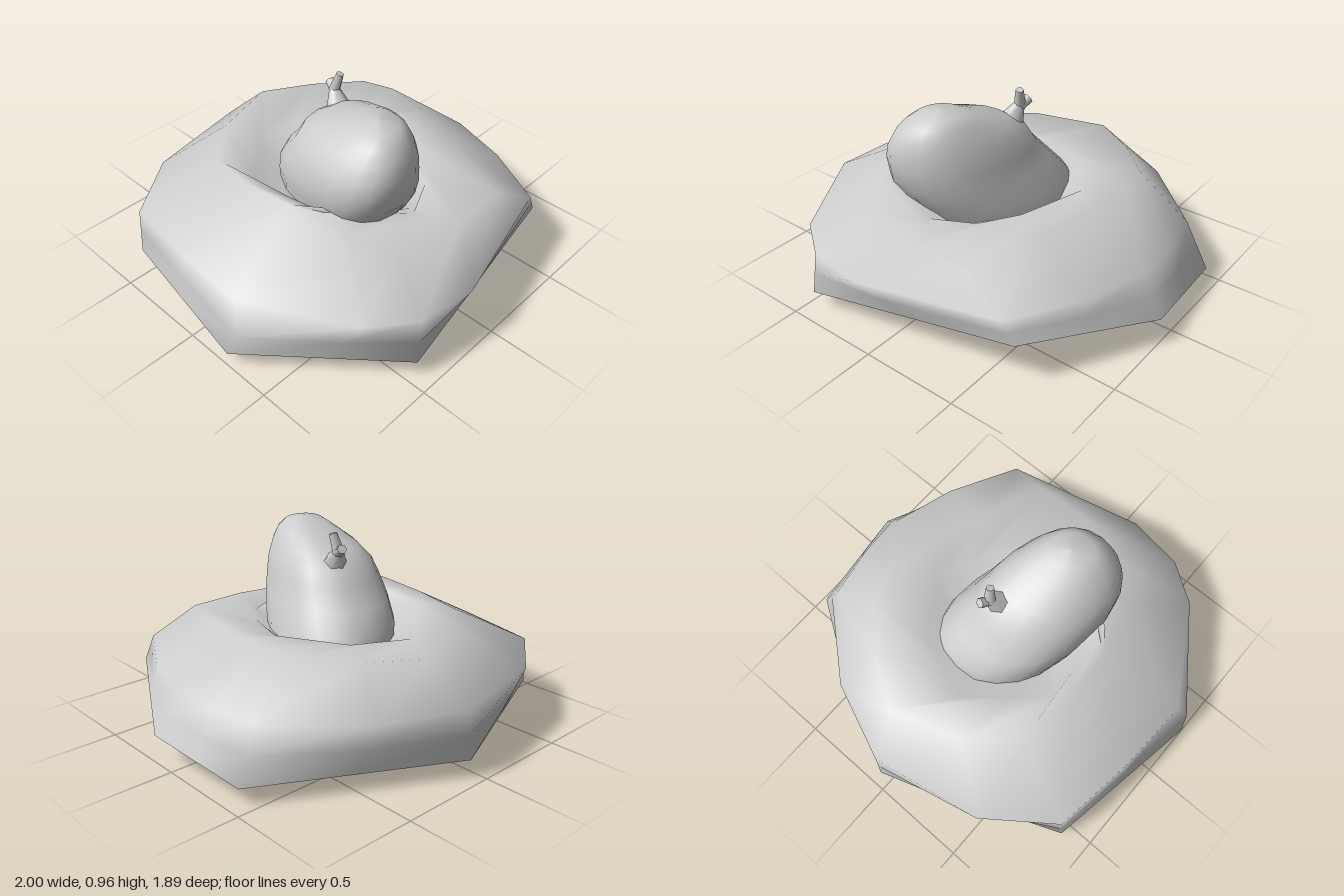
import * as THREE from 'three';

const material = new THREE.MeshStandardMaterial({ color: 0xcccccc, side: THREE.DoubleSide });

// Smooth skin over closed rings of [x, y, z], ordered bottom to top / outside to inside
function loft(name, rings) {
  const n = rings[0].length;
  const index = [];
  for (let i = 0; i < rings.length - 1; i++) {
    for (let j = 0; j < n; j++) {
      const k = (j + 1) % n;
      const a = i * n + j, b = i * n + k, c = a + n, d = b + n;
      index.push(a, c, b, b, c, d);
    }
  }
  const geometry = new THREE.BufferGeometry();
  geometry.setAttribute('position', new THREE.Float32BufferAttribute(rings.flat(2), 3));
  geometry.setIndex(index);
  geometry.computeVertexNormals();
  const mesh = new THREE.Mesh(geometry, material);
  mesh.name = name;
  return mesh;
}

// Tapered peg between two points
function peg(name, from, to, r0, r1) {
  const a = new THREE.Vector3(...from), b = new THREE.Vector3(...to);
  const dir = b.clone().sub(a);
  const mesh = new THREE.Mesh(new THREE.CylinderGeometry(r1, r0, dir.length(), 6), material);
  mesh.position.copy(a).add(b).multiplyScalar(0.5);
  mesh.quaternion.setFromUnitVectors(new THREE.Vector3(0, 1, 0), dir.normalize());
  mesh.name = name;
  return mesh;
}

const midpoint = (p, q) => p.map((v, k) => (v + q[k]) / 2);

// Insert the midpoint after each corner of a closed ring
const withMidpoints = (corners) => corners.flatMap((p, i) => [p, midpoint(p, corners[(i + 1) % corners.length])]);

// Open shell: seven-cornered rim, bulging wall, uneven crest, inner lip and a hollow
function createMound() {
  const rim = withMidpoints([
    [0.05, 0.09, -0.945], [0.95, 0.085, -0.44], [1, 0.14, 0.12], [0.65, 0.23, 0.76],
    [-0.45, 0.09, 0.915], [-1, 0.08, 0.26], [-0.86, 0.085, -0.57],
  ]);
  const wall = [
    [0.06, 0.33, -0.925], [0.46, 0.33, -0.765], [0.83, 0.33, -0.41], [0.88, 0.33, -0.15],
    [0.88, 0.33, 0.1], [0.78, 0.33, 0.43], [0.59, 0.34, 0.77], [-0.12, 0.32, 0.945],
    [-0.42, 0.32, 0.9], [-0.62, 0.33, 0.76], [-0.92, 0.35, 0.25], [-0.9, 0.35, -0.15],
    [-0.84, 0.33, -0.57], [-0.51, 0.33, -0.815],
  ];
  // halfway ring, with one bulge on the side
  const belly = rim.map((p, i) => midpoint(p, wall[i]));
  belly[10] = [-0.975, 0.2, 0.3];
  const crest = [
    [0.13, 0.525, -0.72], [0.37, 0.53, -0.57], [0.57, 0.55, -0.36], [0.61, 0.56, -0.18],
    [0.58, 0.54, 0.06], [0.48, 0.51, 0.36], [0.36, 0.47, 0.71], [0.05, 0.47, 0.72],
    [-0.31, 0.47, 0.65], [-0.43, 0.53, 0.44], [-0.49, 0.585, 0.15], [-0.5, 0.56, -0.12],
    [-0.46, 0.54, -0.4], [-0.24, 0.535, -0.6],
  ];
  const lip = withMidpoints([
    [-0.08, 0.49, -0.45], [0.22, 0.51, -0.35], [0.43, 0.53, -0.06], [0.3, 0.495, 0.25],
    [0.04, 0.465, 0.59], [-0.4, 0.56, 0.28], [-0.43, 0.52, -0.15],
  ]);
  const hollow = (f, y) => lip.map(([x, , z]) => [x * f, y, 0.06 + (z - 0.06) * f]);
  return loft('moundShell', [rim, belly, wall, crest, lip, hollow(0.75, 0.43), hollow(0, 0.39)]);
}

// Leaning fruit: rounded sections [y, centre x, centre z, half width, half depth]
function createFruit() {
  const sections = [
    [0, 0.01, 0.01, 0, 0], [0.03, 0.01, 0, 0.1, 0.1], [0.1, 0.03, -0.02, 0.18, 0.19],
    [0.18, 0.05, -0.01, 0.28, 0.27], [0.28, 0.01, 0, 0.315, 0.34], [0.4, -0.01, 0.04, 0.31, 0.38],
    [0.5, -0.04, 0.08, 0.31, 0.4], [0.6, -0.08, 0.15, 0.295, 0.39], [0.7, -0.1, 0.2, 0.275, 0.35],
    [0.77, -0.1, 0.22, 0.25, 0.33], [0.84, -0.1, 0.26, 0.205, 0.27], [0.9, -0.1, 0.32, 0.15, 0.17],
    [0.94, -0.1, 0.34, 0.1, 0.1], [0.955, -0.1, 0.34, 0, 0],
  ];
  const sides = 20;
  const soft = (v) => Math.sign(v) * Math.abs(v) ** 0.88;
  const rings = sections.map(([y, cx, cz, rx, rz]) => Array.from({ length: sides }, (_, j) => {
    const t = (j / sides) * Math.PI * 2;
    const dz = rz * soft(Math.sin(t));
    // the long axis swings slightly sideways towards the front
    return [cx + rx * soft(Math.cos(t)) - 0.18 * dz, y, cz + dz];
  }));
  return loft('fruitBody', rings);
}

export function createModel() {
  const group = new THREE.Group();
  group.name = 'fruitInMound';
  group.add(createMound(), createFruit());

  // Forked stem on the back of the fruit
  const stem = new THREE.Group();
  stem.name = 'stem';
  stem.add(
    peg('stemBase', [0.02, 0.78, -0.02], [0.04, 0.87, -0.075], 0.07, 0.025),
    peg('stemTip', [0.04, 0.86, -0.075], [0.055, 0.955, -0.05], 0.03, 0.02),
    peg('stemFork', [0.04, 0.855, -0.065], [0.06, 0.89, -0.12], 0.025, 0.025),
  );
  group.add(stem);

  // Short flared stub below
  group.add(peg('lowerStub', [0.17, 0.2, 0.16], [0.245, 0.115, 0.225], 0.015, 0.04));
  return group;
}
